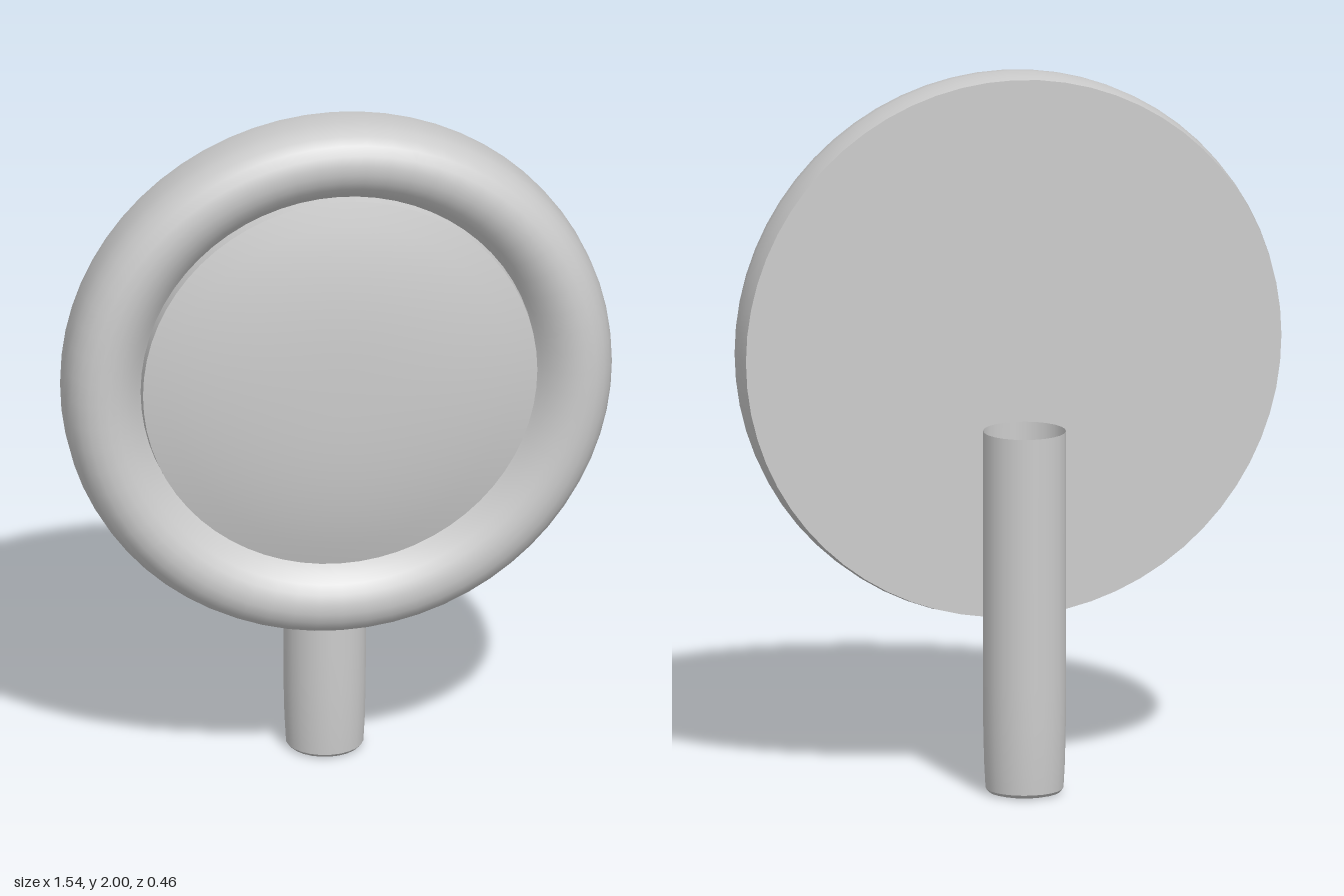
import * as THREE from 'three';

const material = new THREE.MeshStandardMaterial({ color: 0xcccccc, side: THREE.DoubleSide });

// Revolve a [radius, height] profile around the y axis
function lathe(name, points, segments) {
  const profile = points.map(([r, h]) => new THREE.Vector2(r, h));
  const mesh = new THREE.Mesh(new THREE.LatheGeometry(profile, segments), material);
  mesh.name = name;
  return mesh;
}

export function createModel() {
  const model = new THREE.Group();
  model.name = 'roundPaddle';

  // Round head, revolved and then turned so its axis points forward
  const head = new THREE.Group();
  head.name = 'head';
  head.position.y = 1.23;
  head.rotation.x = Math.PI / 2;
  head.add(
    lathe('backPlate', [[0, 0.015], [0.762, 0.015]], 64),
    lathe('rim', [
      [0.762, 0.015], [0.768, 0.05], [0.77, 0.1], [0.766, 0.135], [0.755, 0.165],
      [0.737, 0.19], [0.713, 0.207], [0.685, 0.215], [0.657, 0.214], [0.63, 0.205],
      [0.605, 0.189], [0.583, 0.168], [0.567, 0.147], [0.555, 0.13],
    ], 64),
    lathe('domeEdge', [[0.555, 0.13], [0.553, 0.16]], 64),
  );

  // Shallow domed face inside the rim
  const dome = [];
  for (let i = 0; i <= 8; i++) {
    const r = 0.553 * (1 - i / 8);
    dome.push([r, 0.228 - 0.068 * Math.pow(r / 0.553, 2.6)]);
  }
  head.add(lathe('domedFace', dome, 64));
  model.add(head);

  // Hollow handle behind the head, open at the top, with a holed foot
  const handle = new THREE.Group();
  handle.name = 'handle';
  handle.position.z = -0.115;
  handle.add(
    lathe('handleTube', [[0.108, 0.018], [0.112, 0.09], [0.1145, 0.2], [0.115, 0.32], [0.115, 1.03]], 24),
    lathe('handleFoot', [[0.048, 0.005], [0.085, 0.005], [0.1, 0.009], [0.108, 0.018]], 24),
  );
  model.add(handle);

  // Rest the foot on the ground
  handle.position.y = -0.005;
  return model;
}
